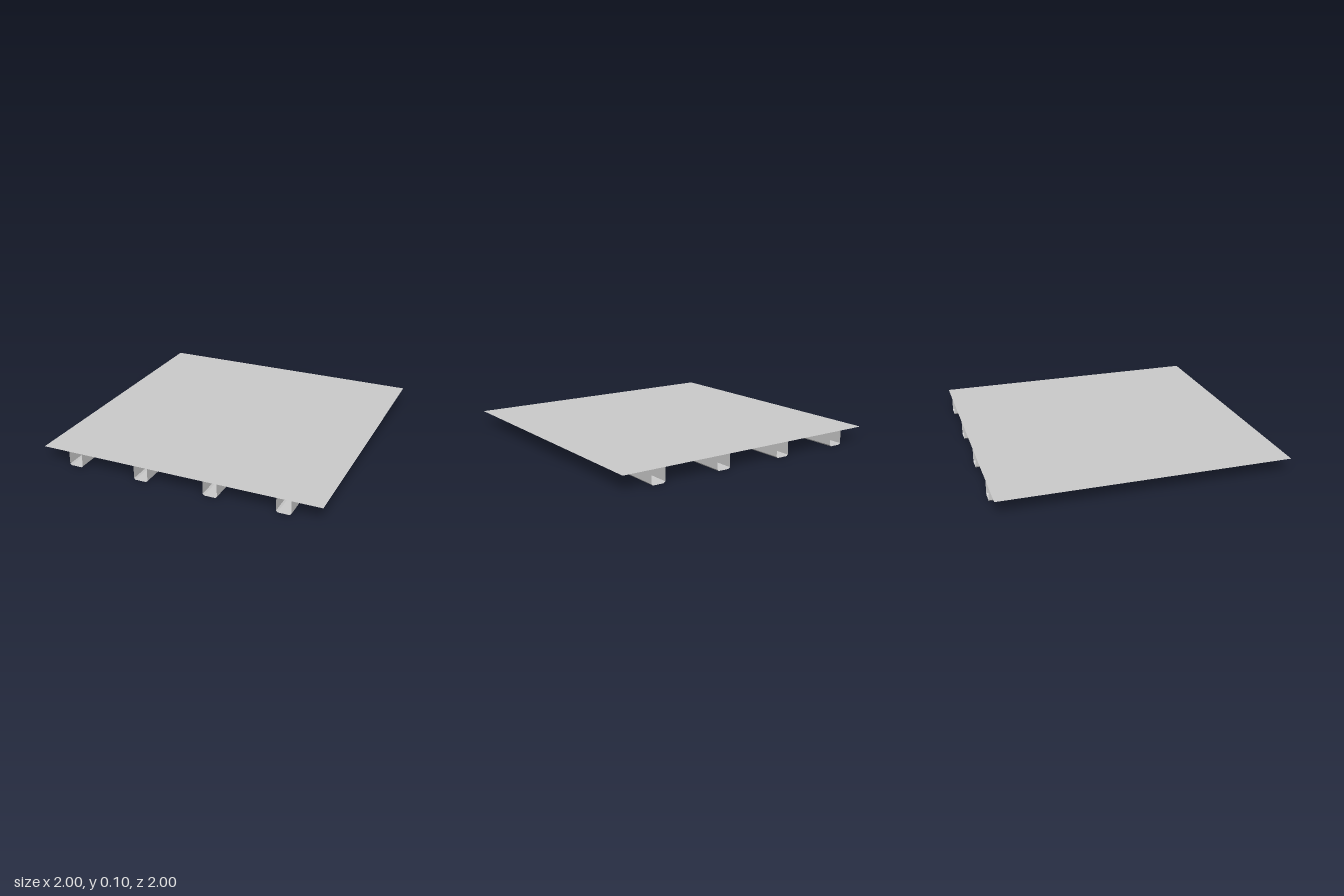
import * as THREE from 'three';

const material = new THREE.MeshStandardMaterial({
  color: 0xcccccc, side: THREE.DoubleSide, flatShading: true,
});

const LENGTH = 2, HEIGHT = 0.1, HALF = 0.05, BEVEL = 0.01;

// Thin sheet made by sweeping an open (x, y) profile along z
function sheet(profile) {
  const geometry = new THREE.PlaneGeometry(1, 1, profile.length - 1, 1);
  const position = geometry.attributes.position;
  for (let i = 0; i < position.count; i++) {
    const [x, y] = profile[i % profile.length];
    position.setXYZ(i, x, y, i < profile.length ? -LENGTH / 2 : LENGTH / 2);
  }
  const flat = geometry.toNonIndexed();
  flat.computeVertexNormals();
  return flat;
}

export function createModel() {
  const group = new THREE.Group();
  group.name = 'ribbedDeck';

  // Flat deck plate
  const plate = new THREE.Mesh(sheet([[-1, HEIGHT], [1, HEIGHT]]), material);
  plate.name = 'deckPlate';
  group.add(plate);

  // Open-ended channel ribs with small bevelled lower corners
  const ribGeometry = sheet([
    [-HALF, HEIGHT], [-HALF, BEVEL], [-HALF + BEVEL, 0],
    [HALF - BEVEL, 0], [HALF, BEVEL], [HALF, HEIGHT],
  ]);
  [-0.75, -0.25, 0.25, 0.75].forEach((x, i) => {
    const rib = new THREE.Mesh(ribGeometry, material);
    rib.name = `channelRib${i + 1}`;
    rib.position.x = x;
    group.add(rib);
  });

  return group;
}
